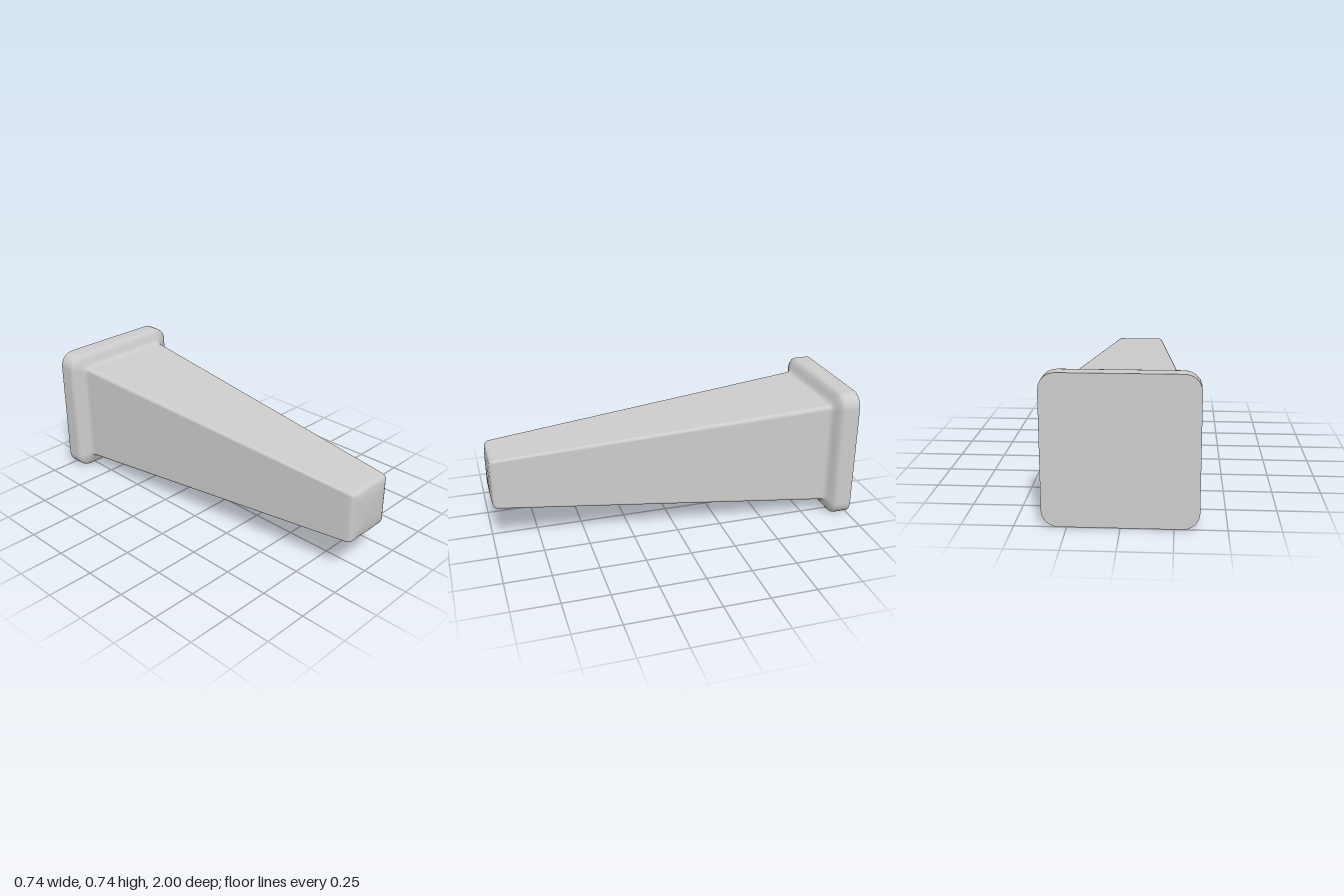
import * as THREE from 'three';

const CENTRE_Y = 0.37;
const CORNER_STEPS = 6;

// Rounded square outline, counter-clockwise seen from +z
function roundedSquare(half, radius) {
  const points = [];
  for (let c = 0; c < 4; c++) {
    const mid = Math.PI / 4 + c * Math.PI / 2;
    const cx = Math.sign(Math.cos(mid)) * (half - radius);
    const cy = Math.sign(Math.sin(mid)) * (half - radius);
    for (let s = 0; s <= CORNER_STEPS; s++) {
      const a = (c + s / CORNER_STEPS) * Math.PI / 2;
      points.push(new THREE.Vector2(cx + radius * Math.cos(a), cy + radius * Math.sin(a)));
    }
  }
  return points;
}

// Skin over rounded squares [z, half width, corner radius], closed at the front by a tip
function loft(sections, tipZ) {
  const positions = [], index = [];
  const n = 4 * (CORNER_STEPS + 1);
  for (const [z, half, radius] of sections) {
    for (const p of roundedSquare(half, radius)) positions.push(p.x, p.y + CENTRE_Y, z);
  }
  const tip = sections.length * n;
  positions.push(0, CENTRE_Y, tipZ);
  for (let k = 0; k < sections.length; k++) {
    for (let i = 0; i < n; i++) {
      const a = k * n + i, b = k * n + (i + 1) % n;
      if (k === sections.length - 1) index.push(a, b, tip);
      else index.push(a, b, b + n, a, b + n, a + n);
    }
  }
  const geometry = new THREE.BufferGeometry();
  geometry.setAttribute('position', new THREE.Float32BufferAttribute(positions, 3));
  geometry.setIndex(index);
  geometry.computeVertexNormals();
  return geometry;
}

export function createModel() {
  const group = new THREE.Group();
  group.name = 'taperedPeg';
  const material = new THREE.MeshStandardMaterial({ color: 0xcccccc });

  // Flange, concave shoulder, tapered shaft and softly domed end in one smooth skin
  const body = new THREE.Mesh(loft([
    [-1, 0.37, 0.08],
    [-0.925, 0.37, 0.08],
    [-0.91, 0.367, 0.078],
    [-0.898, 0.357, 0.07],
    [-0.888, 0.337, 0.058],
    [-0.88, 0.316, 0.045],
    [-0.872, 0.302, 0.034],
    [-0.862, 0.295, 0.026],
    [-0.845, 0.292, 0.022],
    [0.955, 0.143, 0.014],
    [0.975, 0.14, 0.014],
    [0.986, 0.134, 0.014],
    [0.992, 0.122, 0.012],
    [0.997, 0.085, 0.009],
    [0.999, 0.04, 0.005],
  ], 1), material);
  body.name = 'flangedShaft';
  group.add(body);

  // Flat back face with a sharp rim
  const backGeometry = new THREE.ShapeGeometry(new THREE.Shape(roundedSquare(0.37, 0.08)));
  backGeometry.rotateY(Math.PI);
  const back = new THREE.Mesh(backGeometry, material);
  back.name = 'backFace';
  back.position.set(0, CENTRE_Y, -1);
  group.add(back);

  return group;
}
